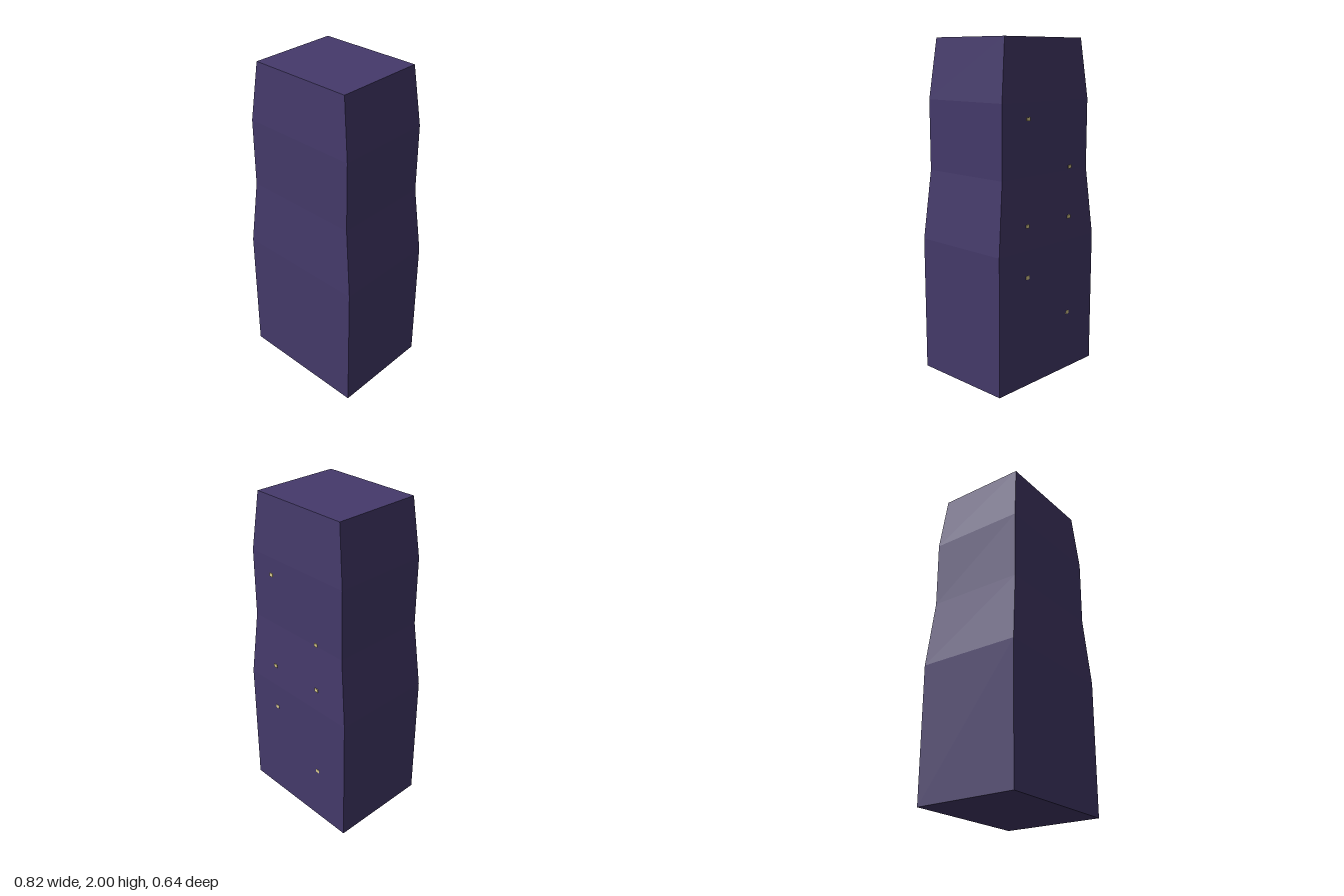
import * as THREE from 'three';

// Height, half width and half depth at each level of the tower
const LEVELS = [
  [0, 0.409, 0.318],
  [0.82, 0.409, 0.318],
  [1.235, 0.363, 0.296],
  [1.65, 0.363, 0.296],
  [2, 0.319, 0.273],
];

// Box whose rings are moved to the tower levels
function towerGeometry() {
  const box = new THREE.BoxGeometry(2, 4, 2, 1, 4, 1);
  const p = box.attributes.position;
  for (let i = 0; i < p.count; i++) {
    const [y, halfWidth, halfDepth] = LEVELS[Math.round(p.getY(i) + 2)];
    p.setXYZ(i, p.getX(i) * halfWidth, y, p.getZ(i) * halfDepth);
  }
  const geometry = box.toNonIndexed();
  geometry.computeVertexNormals();
  return geometry;
}

export function createModel() {
  const model = new THREE.Group();
  model.name = 'tower';

  // Stepped, tapering body
  const body = new THREE.Mesh(
    towerGeometry(),
    new THREE.MeshStandardMaterial({ color: 0x453a6b, flatShading: true })
  );
  body.name = 'body';
  model.add(body);

  // Small lit windows, all on one upright plane at the back
  const windows = new THREE.Group();
  windows.name = 'backWindows';
  const windowGeometry = new THREE.BoxGeometry(0.025, 0.02, 0.005);
  const windowMaterial = new THREE.MeshStandardMaterial({ color: 0xe0d090 });
  const columns = [
    [0.18, [0.66, 0.96, 1.56]],
    [-0.18, [0.36, 0.96, 1.26]],
  ];
  for (const [x, heights] of columns) {
    for (const y of heights) {
      const pane = new THREE.Mesh(windowGeometry, windowMaterial);
      pane.name = 'window';
      pane.position.set(x, y, -0.318);
      windows.add(pane);
    }
  }
  model.add(windows);

  return model;
}
